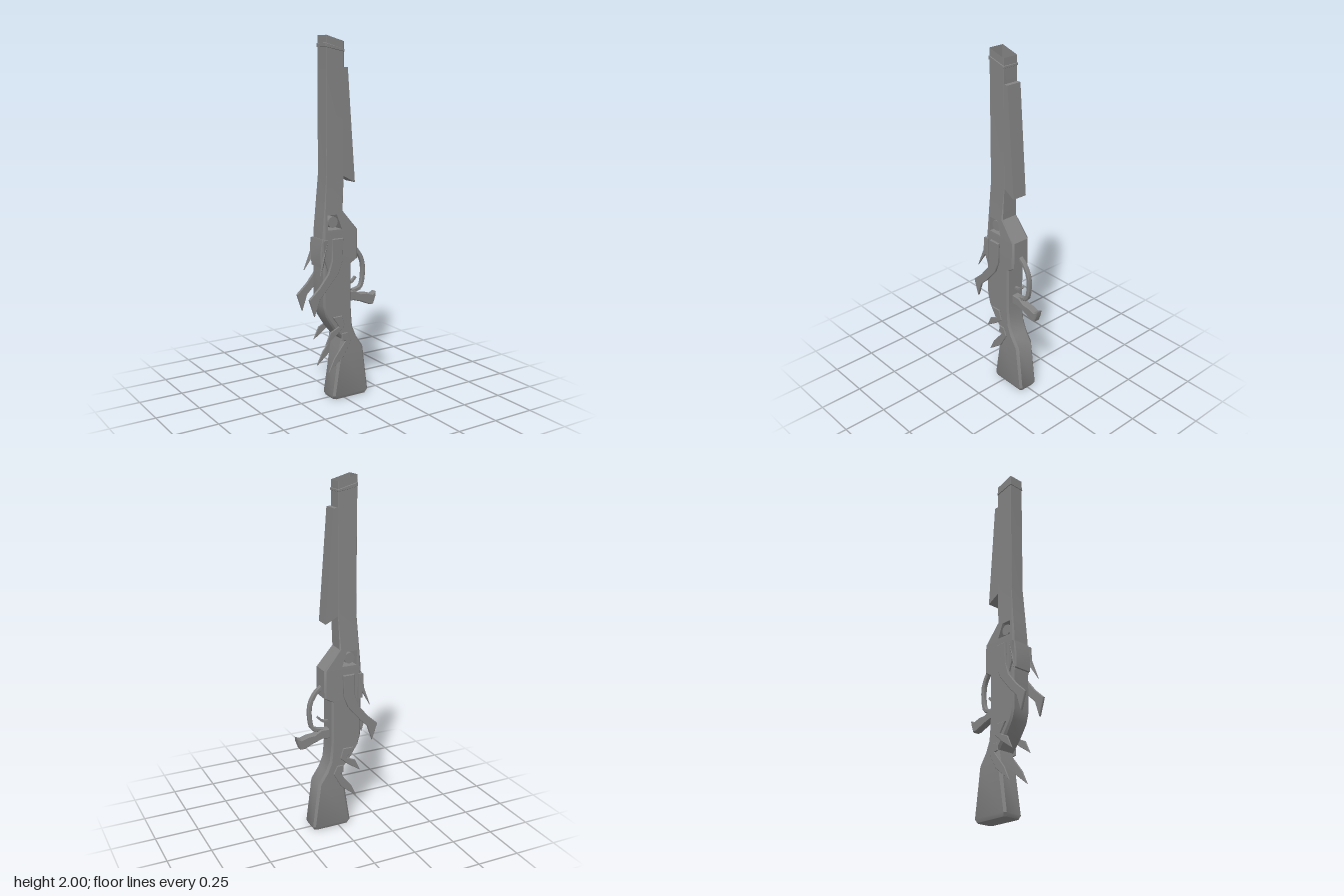
import * as THREE from 'three';
import { toCreasedNormals } from 'three/addons/utils/BufferGeometryUtils.js';

const mat = new THREE.MeshStandardMaterial({ color: 0x838383, side: THREE.DoubleSide });

function add(parent, name, geometry) {
  const mesh = new THREE.Mesh(toCreasedNormals(geometry, 0.6), mat);
  mesh.name = name;
  parent.add(mesh);
}

const shapeOf = pts => new THREE.Shape(pts.map(p => new THREE.Vector2(p[0], p[1])));

function indexed(positions, index) {
  const g = new THREE.BufferGeometry();
  g.setAttribute('position', new THREE.Float32BufferAttribute(positions, 3));
  g.setIndex(index);
  return g;
}

// Flat outline given thickness between z0 and z1, with a small chamfer
function slab(pts, z0, z1, bevel = 0) {
  const g = new THREE.ExtrudeGeometry(shapeOf(pts), {
    depth: z1 - z0 - 2 * bevel, bevelEnabled: bevel > 0, bevelSize: bevel,
    bevelOffset: -bevel, bevelThickness: bevel, bevelSegments: 1
  });
  return g.translate(0, 0, z0 + bevel);
}

// Outline of a curved strip of constant width
function strip(points, width, n = 12) {
  const curve = new THREE.CatmullRomCurve3(points.map(p => new THREE.Vector3(p[0], p[1], 0)));
  const a = [], b = [];
  for (let i = 0; i <= n; i++) {
    const p = curve.getPoint(i / n), t = curve.getTangent(i / n);
    a.push([p.x - t.y * width / 2, p.y + t.x * width / 2]);
    b.unshift([p.x + t.y * width / 2, p.y - t.x * width / 2]);
  }
  return [...a, ...b];
}

// Chamfered shell through sections [xl, yl, xr, yr, halfDepth, chamfer], top to bottom
function shell(sections, openBand = -1, capped = true) {
  const pos = [], index = [];
  for (const [xl, yl, xr, yr, d, c] of sections) {
    const m = d - c;
    pos.push(xl, yl, m, xl + c, yl, d, xr - c, yr, d, xr, yr, m,
      xr, yr, -m, xr - c, yr, -d, xl + c, yl, -d, xl, yl, -m);
  }
  for (let s = 0; s < sections.length - 1; s++) {
    for (let k = 0; k < 8; k++) {
      if (s === openBand && k % 4 === 1) continue;
      const a = s * 8 + k, b = s * 8 + (k + 1) % 8;
      index.push(a, a + 8, b + 8, a, b + 8, b);
    }
  }
  const last = (sections.length - 1) * 8;
  if (capped) for (let k = 1; k < 7; k++) index.push(last, last + k + 1, last + k);
  return indexed(pos, index);
}

export function createModel() {
  const root = new THREE.Group();
  root.name = 'rifle';

  // Barrel, receiver and stock: one hollow shell, open at the muzzle
  const sections = [
    [-0.11, 2.0, 0, 1.97, 0.045, 0.002],
    [-0.11, 1.27, 0, 1.27, 0.045, 0.002],
    [-0.127, 1.07, -0.01, 1.07, 0.053, 0.006],
    [-0.137, 0.96, 0.085, 0.96, 0.058, 0.01],
    [-0.137, 0.8, 0.085, 0.8, 0.06, 0.01],
    [-0.137, 0.775, 0.042, 0.775, 0.06, 0.01],
    [-0.137, 0.55, 0.042, 0.55, 0.06, 0.01],
    [-0.12, 0.49, 0.044, 0.49, 0.06, 0.01],
    [-0.07, 0.41, 0.053, 0.41, 0.06, 0.012],
    [-0.02, 0.35, 0.08, 0.35, 0.06, 0.014],
    [-0.034, 0.285, 0.124, 0.285, 0.06, 0.014],
    [-0.075, 0.02, 0.158, 0.02, 0.06, 0.012],
    [-0.066, 0, 0.148, 0, 0.052, 0.012]
  ];
  add(root, 'barrelReceiverAndStock', shell(sections, 2));

  // Side plates pierced by the opening
  const hole = [[-0.11, 1.054], [-0.05, 1.054], [-0.02, 0.972], [-0.108, 0.972]];
  const [t, b] = [sections[2], sections[3]];
  const zAt = y => THREE.MathUtils.mapLinear(y, b[1], t[1], b[4], t[4]);
  const plate = shapeOf([[t[0] + t[5], t[1]], [b[0] + b[5], b[1]], [b[2] - b[5], b[1]], [t[2] - t[5], t[1]]]);
  plate.holes.push(new THREE.Path(hole.map(p => new THREE.Vector2(p[0], p[1]))));
  for (const side of [1, -1]) {
    const g = new THREE.ShapeGeometry(plate);
    const p = g.attributes.position;
    for (let i = 0; i < p.count; i++) p.setZ(i, side * zAt(p.getY(i)));
    if (side < 0) g.index.array.reverse();
    add(root, 'piercedSidePlate', g);
  }

  // Inner walls of the opening and the pin through it
  const wall = [], wallIndex = [];
  hole.forEach(([x, y], i) => {
    wall.push(x, y, zAt(y), x, y, -zAt(y));
    const a = i * 2, n = ((i + 1) % 4) * 2;
    wallIndex.push(a, a + 1, n + 1, a, n + 1, n);
  });
  add(root, 'openingWalls', indexed(wall, wallIndex));
  add(root, 'pin', new THREE.CylinderGeometry(0.031, 0.031, 0.09, 12).rotateX(Math.PI / 2).translate(-0.07, 1.012, 0));

  // Muzzle band, following the slanted muzzle
  add(root, 'muzzleBand', shell([
    [-0.11, 1.96, 0, 1.93, 0.045, 0.002],
    [-0.113, 1.958, 0.003, 1.928, 0.049, 0.003],
    [-0.113, 1.94, 0.003, 1.918, 0.049, 0.003],
    [-0.11, 1.938, 0, 1.916, 0.045, 0.002]
  ], -1, false));

  // Fore-end under the barrel
  add(root, 'foreEnd', slab([[-0.003, 1.835], [0.025, 1.835], [0.072, 1.22], [-0.003, 1.26]], -0.044, 0.044));

  // Trigger guard, trigger and lever
  add(root, 'triggerGuard', slab(strip([[0.08, 0.855], [0.115, 0.825], [0.15, 0.76], [0.152, 0.67], [0.135, 0.615], [0.08, 0.598]], 0.023), -0.013, 0.013, 0.004));
  add(root, 'trigger', slab(strip([[0.03, 0.645], [0.075, 0.65], [0.105, 0.678]], 0.012, 6), -0.009, 0.009));
  add(root, 'leverHandle', slab([[0.03, 0.603], [0.09, 0.603], [0.13, 0.58], [0.17, 0.578], [0.21, 0.565],
    [0.236, 0.577], [0.233, 0.55], [0.217, 0.507], [0.19, 0.507], [0.13, 0.533], [0.08, 0.548], [0.03, 0.543]], -0.022, 0.022, 0.005));

  // Band across the back edge of the receiver
  add(root, 'backBand', slab([[-0.13, 0.925], [-0.142, 0.925], [-0.154, 0.84], [-0.15, 0.77], [-0.13, 0.77]], -0.056, 0.056, 0.006));

  // Ornaments, mirrored onto both sides
  const ornaments = {
    longPlume: [[-0.09, 0.925], [-0.02, 0.925], [-0.025, 0.8], [-0.05, 0.735], [-0.13, 0.64], [-0.172, 0.6],
      [-0.203, 0.51], [-0.236, 0.607], [-0.172, 0.665], [-0.115, 0.735], [-0.092, 0.805]],
    upperLeaf: [[-0.085, 0.485], [-0.024, 0.487], [-0.006, 0.427], [-0.055, 0.383], [-0.132, 0.332],
      [-0.1, 0.402], [-0.045, 0.427], [-0.06, 0.45]],
    lowerLeaf: [[-0.024, 0.385], [0.013, 0.385], [0.036, 0.337], [-0.012, 0.25], [-0.11, 0.173],
      [-0.076, 0.247], [-0.003, 0.337], [-0.028, 0.34]]
  };
  for (const side of [1, -1]) {
    const group = new THREE.Group();
    group.name = side > 0 ? 'frontOrnaments' : 'rearOrnaments';
    for (const [name, outline] of Object.entries(ornaments)) {
      const depth = name === 'longPlume' ? 0.074 : 0.068;
      const [z0, z1] = side > 0 ? [0.059, depth] : [-depth, -0.059];
      add(group, name, slab(outline, z0, z1, 0.003));
    }
    // Small fin that flares outward toward its tip
    const fin = slab([[-0.142, 0.92], [-0.115, 0.92], [-0.115, 0.75], [-0.138, 0.815], [-0.177, 0.735], [-0.158, 0.8], [-0.146, 0.84]], -0.008, 0.008);
    const p = fin.attributes.position;
    for (let i = 0; i < p.count; i++) {
      const flare = Math.max(0, -0.135 - p.getX(i)) / 0.04;
      p.setZ(i, p.getZ(i) * (1 - 0.5 * flare) + side * (0.06 + 0.025 * flare));
    }
    add(group, 'flaredFin', fin);
    root.add(group);
  }
  return root;
}
